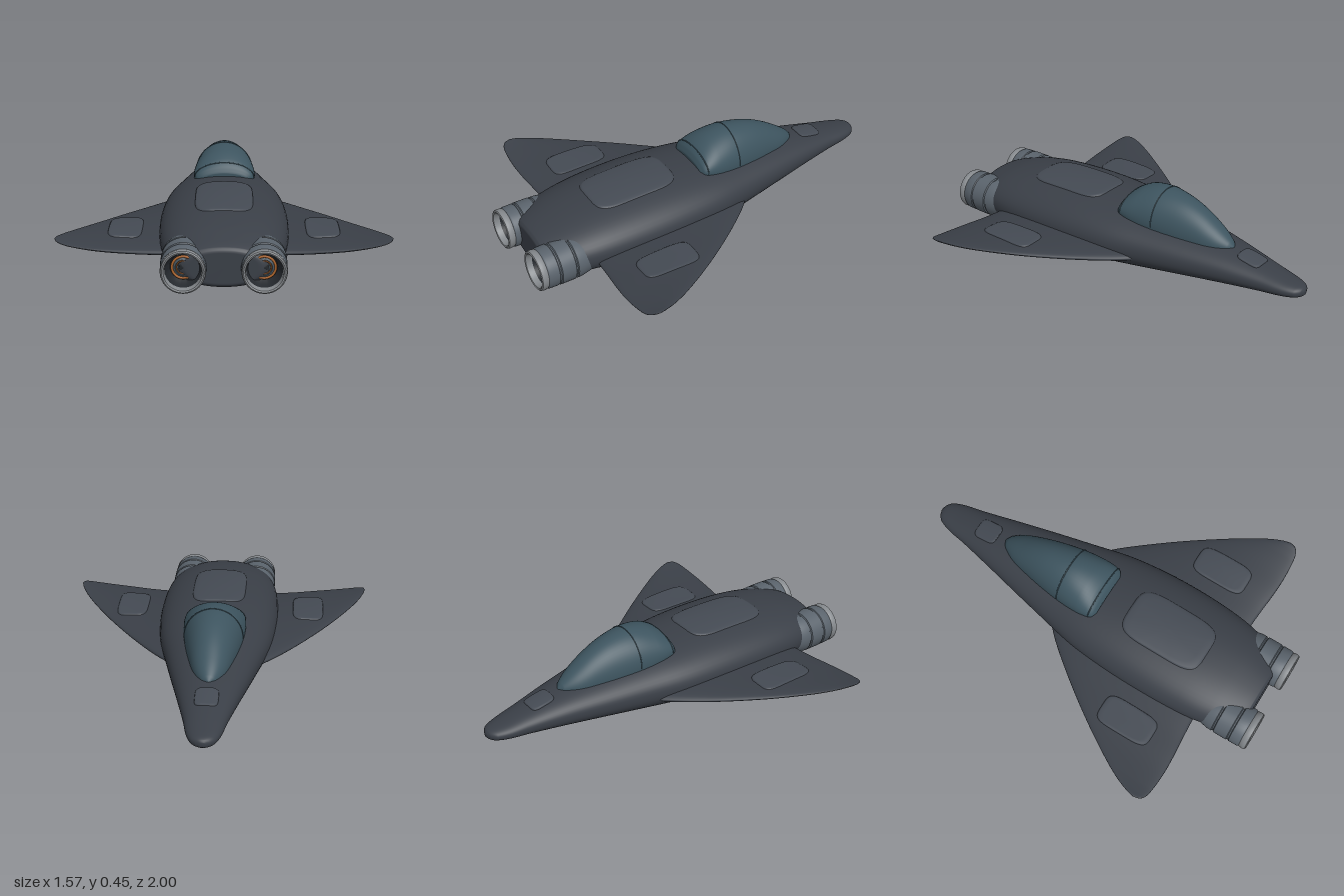
import * as THREE from 'three';
import { toCreasedNormals } from 'three/addons/utils/BufferGeometryUtils.js';

const mat = (color) => new THREE.MeshStandardMaterial({ color });
const HULL = mat(0x3a3f47), PANEL = mat(0x444a53), METAL = mat(0x5a636c), LIP = mat(0x85898d);
const DARK = mat(0x24282d), GLASS = mat(0x3d545f), GLOW = mat(0xa8622a), CORE = mat(0x46545e);

// Hull stations: z, half width, top y, bottom y
const BODY = [
  [-1, 0.012, 0.156, 0.134], [-0.99, 0.036, 0.168, 0.125], [-0.965, 0.06, 0.177, 0.117],
  [-0.9, 0.083, 0.19, 0.108], [-0.8, 0.102, 0.21, 0.099], [-0.6, 0.148, 0.247, 0.08],
  [-0.4, 0.195, 0.274, 0.06], [-0.2, 0.24, 0.298, 0.039], [0, 0.284, 0.32, 0.02],
  [0.2, 0.305, 0.333, 0.008], [0.4, 0.31, 0.333, 0.006], [0.6, 0.3, 0.321, 0.015],
  [0.75, 0.276, 0.299, 0.031], [0.85, 0.24, 0.273, 0.046], [0.92, 0.2, 0.248, 0.06], [0.935, 0.17, 0.232, 0.075],
];
// Canopy stations, as full ellipses whose lower half sits inside the hull
const CANOPY = [
  [-0.592, 0.008, 0.25, 0.23], [-0.57, 0.038, 0.277, 0.21], [-0.5, 0.078, 0.33, 0.165],
  [-0.4, 0.106, 0.39, 0.13], [-0.3, 0.128, 0.428, 0.115], [-0.18, 0.148, 0.445, 0.13],
  [-0.08, 0.156, 0.43, 0.17], [-0.02, 0.153, 0.402, 0.215], [0.015, 0.142, 0.37, 0.25], [0.03, 0.115, 0.34, 0.27],
];
// Wing stations: x, leading z, trailing z, mid y, half thickness
const WING = [
  [0.2, -0.2, 0.7, 0.138, 0.05], [0.3, -0.1, 0.705, 0.142, 0.044], [0.4, 0.022, 0.712, 0.147, 0.037],
  [0.5, 0.155, 0.721, 0.155, 0.03], [0.6, 0.3, 0.725, 0.165, 0.022], [0.7, 0.46, 0.72, 0.18, 0.014],
  [0.75, 0.555, 0.71, 0.191, 0.009], [0.775, 0.62, 0.69, 0.199, 0.005], [0.782, 0.652, 0.666, 0.201, 0.002],
];

// Smooth interpolation of a station table at t
function sample(table, t) {
  let i = 0;
  while (i < table.length - 2 && t > table[i + 1][0]) i++;
  const a = table[i], b = table[i + 1], p = table[Math.max(i - 1, 0)];
  const n = table[Math.min(i + 2, table.length - 1)], h = b[0] - a[0];
  const u = THREE.MathUtils.clamp((t - a[0]) / h, 0, 1);
  return a.map((v, k) => {
    if (k === 0) return t;
    const m0 = (b[k] - p[k]) / (b[0] - p[0]) * h, m1 = (n[k] - v) / (n[0] - a[0]) * h;
    return (2 * u ** 3 - 3 * u * u + 1) * v + (u ** 3 - 2 * u * u + u) * m0
      + (3 * u * u - 2 * u ** 3) * b[k] + (u ** 3 - u * u) * m1;
  });
}

// Stations subdivided for a smooth loft
function refine(table, steps) {
  const out = [];
  for (let i = 0; i < table.length - 1; i++)
    for (let k = 0; k < steps; k++)
      out.push(sample(table, table[i][0] + (table[i + 1][0] - table[i][0]) * k / steps));
  out.push(table[table.length - 1]);
  return out;
}

// Skin through closed rings of [x, y, z] points
function loft(rings, flip = false) {
  const n = rings[0].length, index = [];
  for (let i = 0; i < rings.length - 1; i++) for (let j = 0; j < n; j++) {
    const a = i * n + j, b = i * n + (j + 1) % n, c = a + n, d = b + n;
    index.push(...(flip ? [a, c, b, b, c, d] : [a, b, c, b, d, c]));
  }
  const geo = new THREE.BufferGeometry();
  geo.setAttribute('position', new THREE.Float32BufferAttribute(rings.flat(2), 3));
  geo.setIndex(index);
  geo.computeVertexNormals();
  return geo;
}

const pow = (v, e) => Math.sign(v) * Math.abs(v) ** e;
const circle = (n, f) => Array.from({ length: n }, (_, j) => f(j / n * Math.PI * 2));
const POWER = 2.2;

// Hull-like solid from stations along z, closed at both ends
function pod(table, power) {
  const ring = ([z, w, t, b], k = 1) => circle(56, (a) => [k * w * pow(Math.cos(a), 2 / power),
    (t + b) / 2 + k * (t - b) / 2 * pow(Math.sin(a), 2 / power), z]);
  const st = refine(table, 4);
  return loft([ring(st[0], 0), ...st.map((s) => ring(s)), ring(st[st.length - 1], 0.9), ring(st[st.length - 1], 0)]);
}

// Surface heights used to seat the panels (side: 1 top, -1 underside)
function bodyY(x, z, side) {
  const [, w, t, b] = sample(BODY, z);
  return (t + b) / 2 + side * (t - b) / 2 * Math.max(0, 1 - Math.abs(x / w) ** POWER) ** (1 / POWER);
}
function wingY(x, z, side) {
  const [, le, te, y, t] = sample(WING, Math.abs(x));
  const u = (z - (le + te) / 2) / ((te - le) / 2);
  return y + side * t * Math.sqrt(Math.max(0, 1 - u * u));
}

// Rounded plate that follows a surface, with a rolled edge
function panel(surface, side, cx, cz, hw, hl) {
  const profile = [[0, 0.006], [0.2, 0.006], [0.4, 0.006], [0.6, 0.006], [0.8, 0.006], [0.93, 0.006], [0.975, 0.003], [1, -0.006]];
  const rings = profile.map(([r, lift]) => circle(48, (a) => {
    const x = cx + r * hw * pow(Math.cos(a), 0.45), z = cz + r * hl * pow(Math.sin(a), 0.45);
    return [x, surface(x, z, side) + side * lift, z];
  }));
  return loft(rings, side < 0);
}

export function createModel() {
  const model = new THREE.Group();
  const add = (name, geo, material, parent = model) => {
    const mesh = new THREE.Mesh(geo, material);
    mesh.name = name;
    parent.add(mesh);
    return mesh;
  };

  add('fuselage', pod(BODY, POWER), HULL);
  add('canopy', pod(CANOPY, 2), GLASS);

  // Canopy frames
  for (const z of [-0.19, 0.0]) {
    const [, w, t, b] = sample(CANOPY, z);
    const pts = Array.from({ length: 17 }, (_, i) => new THREE.Vector3(
      w * Math.cos(i / 16 * Math.PI), (t + b) / 2 + (t - b) / 2 * Math.sin(i / 16 * Math.PI), z));
    add('canopyFrame', new THREE.TubeGeometry(new THREE.CatmullRomCurve3(pts), 40, 0.003, 6), GLASS);
  }

  // Hull panels
  add('dorsalPanel', panel(bodyY, 1, 0, 0.385, 0.14, 0.227), PANEL);
  add('nosePanel', panel(bodyY, 1, 0, -0.7, 0.057, 0.065), PANEL);
  add('bellyPanel', panel(bodyY, -1, 0, 0.12, 0.11, 0.34), HULL);
  add('noseBellyPanel', panel(bodyY, -1, 0, -0.47, 0.065, 0.11), HULL);

  for (const s of [1, -1]) {
    const side = s > 0 ? 'left' : 'right';

    // Swept wing curving up to the tip
    const ring = ([x, le, te, y, t], k = 1) => circle(48, (a) => [s * x, y + k * t * Math.cos(a),
      (le + te) / 2 + k * (te - le) / 2 * Math.sin(a)]);
    const st = refine(WING, 4);
    add(side + 'Wing', loft([...st.map((r) => ring(r)), ring([0.784, 0.655, 0.663, 0.201, 0.001], 0)], s < 0), HULL);
    add(side + 'WingTopPanel', panel(wingY, 1, s * 0.47, 0.433, 0.082, 0.15), PANEL);
    add(side + 'WingLowerPanel', panel(wingY, -1, s * 0.47, 0.433, 0.082, 0.15), HULL);
    add(side + 'BellyPanel', panel(bodyY, -1, s * 0.195, 0.36, 0.05, 0.15), HULL);

    // Engine, turned about z
    const engine = new THREE.Group();
    engine.name = side + 'Engine';
    engine.position.set(s * 0.18, 0.155, 0);
    model.add(engine);
    const turned = (name, pts, material) => {
      const geo = new THREE.LatheGeometry(pts.map(([r, z]) => new THREE.Vector2(r, z)), 48);
      add(name, toCreasedNormals(geo.rotateX(Math.PI / 2), 0.6), material, engine);
    };
    const ringAt = (name, r, tube, z, material) =>
      add(name, new THREE.TorusGeometry(r, tube, 10, 48), material, engine).position.set(0, 0, z);
    turned('engineHousing', [[0, 0.6], [0.07, 0.64], [0.095, 0.74], [0.103, 0.78], [0.104, 0.807], [0.099, 0.811],
      [0.099, 0.817], [0.105, 0.821], [0.105, 0.893], [0.1, 0.897], [0.1, 0.904], [0.104, 0.908], [0.103, 0.955], [0.098, 0.963], [0.09, 0.965]], METAL);
    turned('exhaustLip', [[0.092, 0.955], [0.1, 0.966], [0.102, 0.985], [0.099, 0.996], [0.093, 1], [0.086, 0.997], [0.082, 0.985], [0.081, 0.96]], LIP);
    turned('exhaustThroat', [[0.083, 0.975], [0.076, 0.94], [0.06, 0.915], [0, 0.91]], DARK);
    ringAt('outerGlowRing', 0.051, 0.006, 0.925, GLOW);
    turned('exhaustCore', [[0.046, 0.905], [0.046, 0.925], [0.036, 0.93], [0.028, 0.918], [0, 0.916]], CORE);
    ringAt('innerGlowRing', 0.03, 0.003, 0.926, GLOW);
    turned('exhaustPlug', [[0.022, 0.91], [0.018, 0.925], [0, 0.932]], DARK);
  }
  return model;
}
